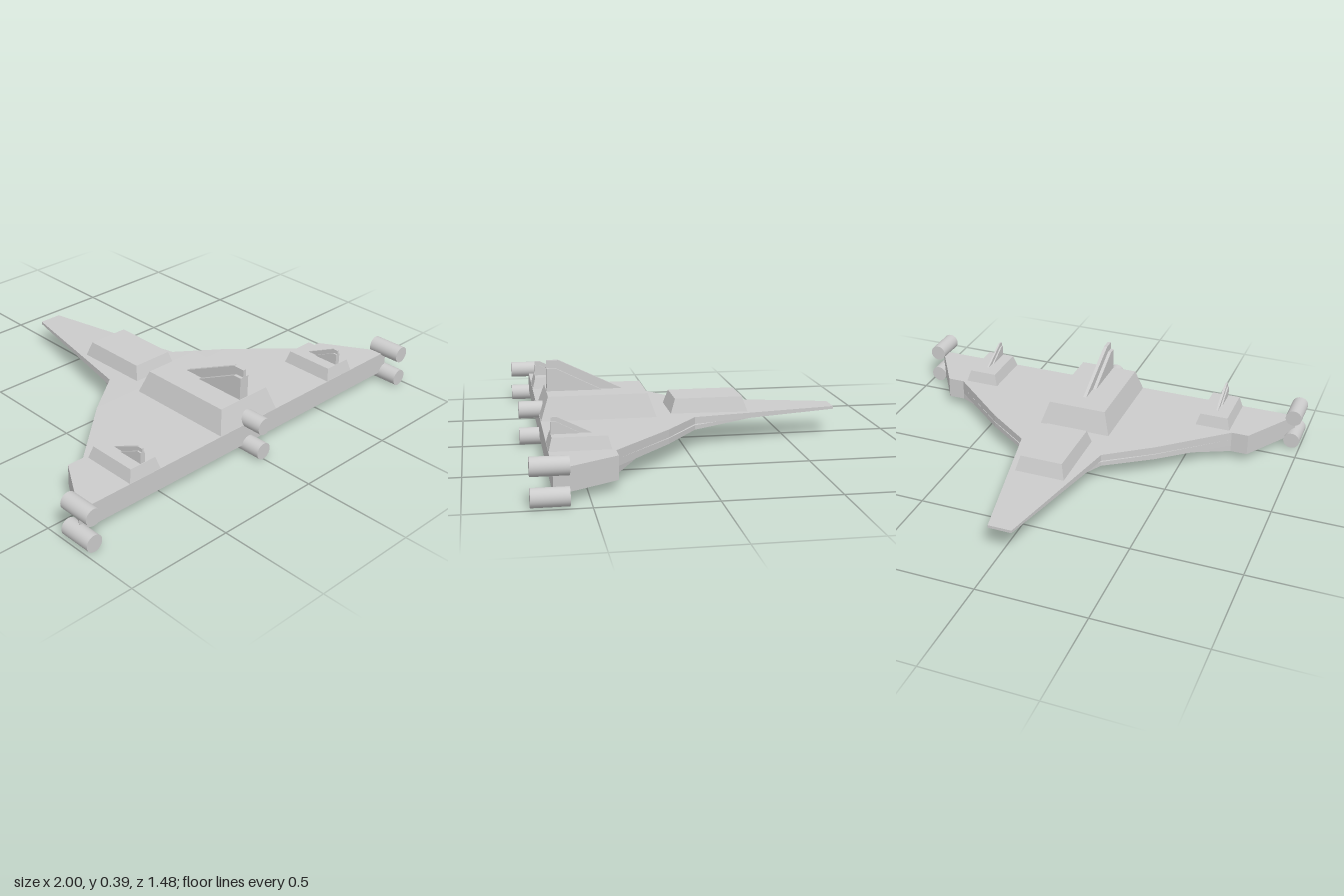
import * as THREE from 'three';

const material = new THREE.MeshStandardMaterial({ color: 0xcccccc, flatShading: true });
const smooth = new THREE.MeshStandardMaterial({ color: 0xcccccc });

function add(parent, name, geometry, mat = material) {
  const mesh = new THREE.Mesh(geometry, mat);
  mesh.name = name;
  parent.add(mesh);
  return mesh;
}

// Closed loft through rectangular sections [z, halfWidth, bottom, top], listed rear to front
function slab(rows) {
  const pos = [], idx = [];
  for (const [z, w, b, t] of rows) pos.push(-w, b, z, w, b, z, w, t, z, -w, t, z);
  for (let r = 0; r < rows.length - 1; r++) {
    for (let k = 0; k < 4; k++) {
      const a = r * 4 + k, b = r * 4 + (k + 1) % 4;
      idx.push(a, a + 4, b, b, a + 4, b + 4);
    }
  }
  const e = (rows.length - 1) * 4;
  idx.push(0, 1, 2, 0, 2, 3, e, e + 2, e + 1, e, e + 3, e + 2);
  const g = new THREE.BufferGeometry();
  g.setAttribute('position', new THREE.Float32BufferAttribute(pos, 3));
  g.setIndex(idx);
  const flat = g.toNonIndexed();
  flat.computeVertexNormals();
  return flat;
}

// Box whose top face is drawn in by the given insets
function pod(halfWidth, z0, z1, y0, y1, insetX, insetZ) {
  const box = new THREE.BoxGeometry(halfWidth * 2, y1 - y0, z1 - z0);
  const p = box.attributes.position;
  for (let i = 0; i < p.count; i++) {
    if (p.getY(i) > 0) {
      p.setX(i, p.getX(i) - Math.sign(p.getX(i)) * insetX);
      p.setZ(i, p.getZ(i) - Math.sign(p.getZ(i)) * insetZ);
    }
  }
  box.translate(0, (y0 + y1) / 2, (z0 + z1) / 2);
  box.computeVertexNormals();
  return box;
}

// Upright fin: side profile of [z, y] points, extruded across x
function fin(points, thickness) {
  const shape = new THREE.Shape(points.map(([z, y]) => new THREE.Vector2(-z, y)));
  const g = new THREE.ExtrudeGeometry(shape, { depth: thickness, bevelEnabled: false });
  g.translate(0, 0, -thickness / 2);
  g.rotateY(Math.PI / 2);
  return g;
}

export function createModel() {
  const model = new THREE.Group();
  model.name = 'spacecraft';

  // Hull: a full-depth rear block and three stacked plates that taper forward
  add(model, 'rearHull', slab([[0.65, 0.96, 0.043, 0.145], [0.375, 0.79, 0.043, 0.145]]));
  add(model, 'upperPlate', slab([
    [0.375, 0.71, 0.107, 0.145], [0.11, 0.41, 0.109, 0.145],
    [-0.045, 0.2, 0.112, 0.144], [-0.74, 0.055, 0.122, 0.135],
  ]));
  add(model, 'middlePlate', slab([
    [0.375, 0.71, 0.075, 0.107], [0.11, 0.41, 0.08, 0.106],
    [-0.045, 0.2, 0.085, 0.106], [-0.4, 0.03, 0.098, 0.104],
  ]));
  add(model, 'lowerPlate', slab([[0.375, 0.71, 0.043, 0.075], [0.1, 0.17, 0.052, 0.064]]));

  // Superstructure on the centre line
  add(model, 'forwardPod', pod(0.12, -0.31, 0.055, 0.135, 0.21, 0.02, 0.025));
  add(model, 'mainPod', pod(0.175, 0.125, 0.65, 0.14, 0.25, 0.035, 0.037));
  add(model, 'mainFin', fin([[0.61, 0.24], [0.61, 0.39], [0.555, 0.39], [0.265, 0.25], [0.265, 0.24]], 0.016));
  add(model, 'mainFinRoot', fin([[0.61, 0.24], [0.61, 0.355], [0.57, 0.355], [0.36, 0.25], [0.36, 0.24]], 0.048));

  // Small pods with fins on each wing
  for (const side of [-1, 1]) {
    const wingPod = new THREE.Group();
    wingPod.name = side > 0 ? 'leftWingPod' : 'rightWingPod';
    wingPod.position.x = side * 0.61;
    add(wingPod, 'podBody', pod(0.085, 0.388, 0.65, 0.14, 0.2, 0.018, 0.016));
    add(wingPod, 'podFin', fin([[0.632, 0.19], [0.632, 0.27], [0.607, 0.27], [0.465, 0.2], [0.465, 0.19]], 0.009));
    add(wingPod, 'podFinRoot', fin([[0.632, 0.19], [0.632, 0.252], [0.612, 0.252], [0.51, 0.2], [0.51, 0.19]], 0.023));
    model.add(wingPod);
  }

  // Engines: a stacked pair at each wing tip and at the centre
  const engine = new THREE.CylinderGeometry(0.039, 0.039, 0.155, 32);
  engine.rotateX(Math.PI / 2);
  for (const x of [-0.96, 0, 0.96]) {
    for (const y of [0.039, 0.163]) {
      add(model, 'engine', engine, smooth).position.set(x, y, 0.663);
    }
  }
  return model;
}
